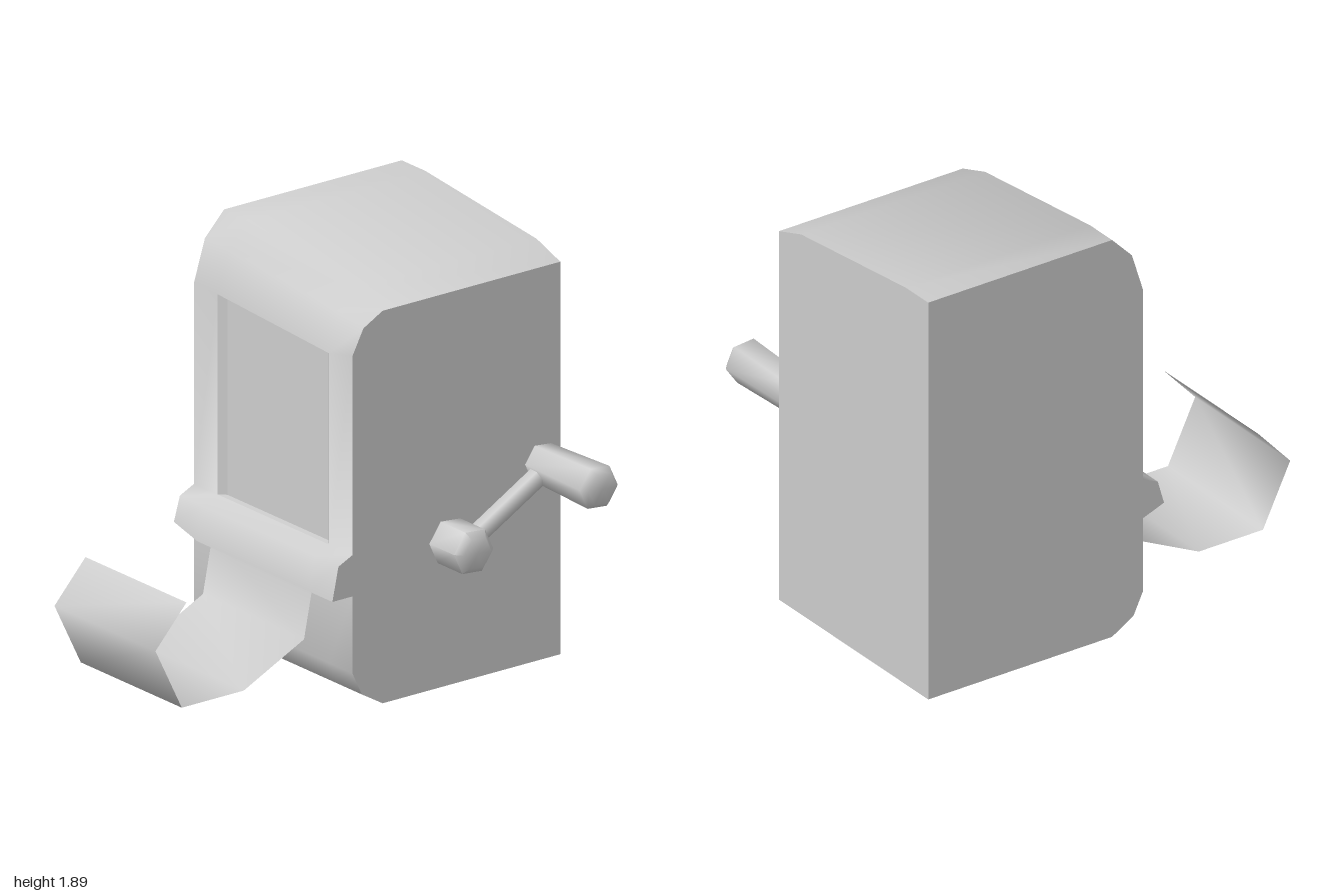
import * as THREE from 'three';
import { toCreasedNormals } from 'three/addons/utils/BufferGeometryUtils.js';

const grey = new THREE.MeshStandardMaterial({ color: 0xcccccc, side: THREE.DoubleSide });
grey.name = 'plain grey';

function part(name, geometry, crease) {
  const mesh = new THREE.Mesh(crease ? toCreasedNormals(geometry, crease) : geometry, grey);
  mesh.name = name;
  return mesh;
}

// Geometry from a list of triangles, each with three [x, y, z] corners
function fromTriangles(tris) {
  const g = new THREE.BufferGeometry();
  g.setAttribute('position', new THREE.Float32BufferAttribute(tris.flat(2), 3));
  g.computeVertexNormals();
  return g;
}
const quad = (a, b, c, d) => [[a, b, c], [a, c, d]];

// Cabinet: side profile swept over four stations, with a window opening left out
const stations = [-0.77, -0.61, 0.145, 0.305];
const same = (v) => [v, v, v, v];
const profile = [ // z, then height at each station
  [-1, same(0)],
  [-0.055, same(0)],
  [0.055, same(0.065)],
  [0.105, same(0.17)],
  [0.105, same(0.515)],
  [0.212, [0.555, 0.515, 0.515, 0.515]],
  [0.18, same(0.665)],
  [0.105, same(0.70)],
  [0.105, [1.6, 1.595, 1.555, 1.59]],
  [0.047, [1.785, 1.78, 1.725, 1.70]],
  [-0.055, [1.89, 1.89, 1.81, 1.755]],
  [-1, [1.89, 1.89, 1.81, 1.755]],
];
const WINDOW_ROW = 7;

function cabinet() {
  const tris = [];
  const at = (i, j) => {
    const [z, ys] = profile[i % profile.length];
    return [stations[j], ys[j], z];
  };
  for (let i = 0; i < profile.length; i++) {
    for (let j = 0; j < 3; j++) {
      if (i === WINDOW_ROW && j === 1) continue;
      tris.push(...quad(at(i, j), at(i, j + 1), at(i + 1, j + 1), at(i + 1, j)));
    }
  }
  // Flat side walls
  for (const j of [0, 3]) {
    const outline = profile.map(([z, ys]) => new THREE.Vector2(-z, ys[j]));
    for (const [a, b, c] of THREE.ShapeUtils.triangulateShape(outline, [])) {
      const ccw = THREE.ShapeUtils.area([outline[a], outline[b], outline[c]]) > 0;
      const order = ccw === (j === 3) ? [a, b, c] : [a, c, b];
      tris.push(order.map((i) => at(i, j)));
    }
  }
  return part('cabinet', fromTriangles(tris), 1.22);
}

// Shallow window recess with slanted sides
function windowRecess() {
  const outer = [[-0.61, 0.7, 0.105], [0.145, 0.7, 0.105], [0.145, 1.555, 0.105], [-0.61, 1.595, 0.105]];
  const inner = [[-0.575, 0.703, 0.08], [0.11, 0.703, 0.08], [0.11, 1.554, 0.08], [-0.575, 1.59, 0.08]];
  const tris = quad(...inner);
  for (let i = 0; i < 4; i++) {
    const k = (i + 1) % 4;
    tris.push(...quad(outer[i], outer[k], inner[k], inner[i]));
  }
  return part('windowRecess', fromTriangles(tris));
}

// Thin sheet curling out from under the lip
function curledSheet() {
  const path = [[0.16, 0.54], [0.21, 0.29], [0.53, 0.135], [0.86, 0.135], [1.0, 0.42], [0.835, 0.6]];
  const tris = [];
  for (let i = 0; i < path.length - 1; i++) {
    const [z0, y0] = path[i];
    const [z1, y1] = path[i + 1];
    tris.push(...quad([-0.575, y0, z0], [-0.575, y1, z1], [0.11, y1, z1], [0.11, y0, z0]));
  }
  return part('curledSheet', fromTriangles(tris), 1.5);
}

// Six-sided turned part lying along x; points are [radius, x]
function turned(name, points, y, z) {
  const g = new THREE.LatheGeometry(points.map(([r, x]) => new THREE.Vector2(r, x)), 6);
  g.rotateZ(-Math.PI / 2).rotateX(-0.09);
  const mesh = part(name, g, 1.2);
  mesh.position.set(0, y, z);
  return mesh;
}

function crank() {
  const group = new THREE.Group();
  group.name = 'crank';
  const hub = new THREE.Vector3(0.403, 0.645, -0.408);
  const grip = new THREE.Vector3(0.403, 0.905, -0.865);
  group.add(
    turned('crankHub', [[0, 0.3], [0.105, 0.3], [0.105, 0.472], [0.073, 0.5], [0, 0.5]], hub.y, hub.z),
    turned('crankHandle', [[0, 0.35], [0.088, 0.35], [0.101, 0.737], [0.075, 0.765], [0, 0.765]], grip.y, grip.z),
  );
  // Arm joining hub and handle
  const along = grip.clone().sub(hub);
  const arm = part('crankArm', new THREE.CylinderGeometry(0.044, 0.044, along.length(), 6));
  arm.geometry.rotateY(Math.PI / 6);
  arm.position.copy(hub).addScaledVector(along, 0.5);
  arm.rotation.x = Math.atan2(along.z, along.y);
  group.add(arm);
  return group;
}

export function createModel() {
  const model = new THREE.Group();
  model.name = 'crankMachine';
  model.add(cabinet(), windowRecess(), curledSheet(), crank());
  return model;
}
